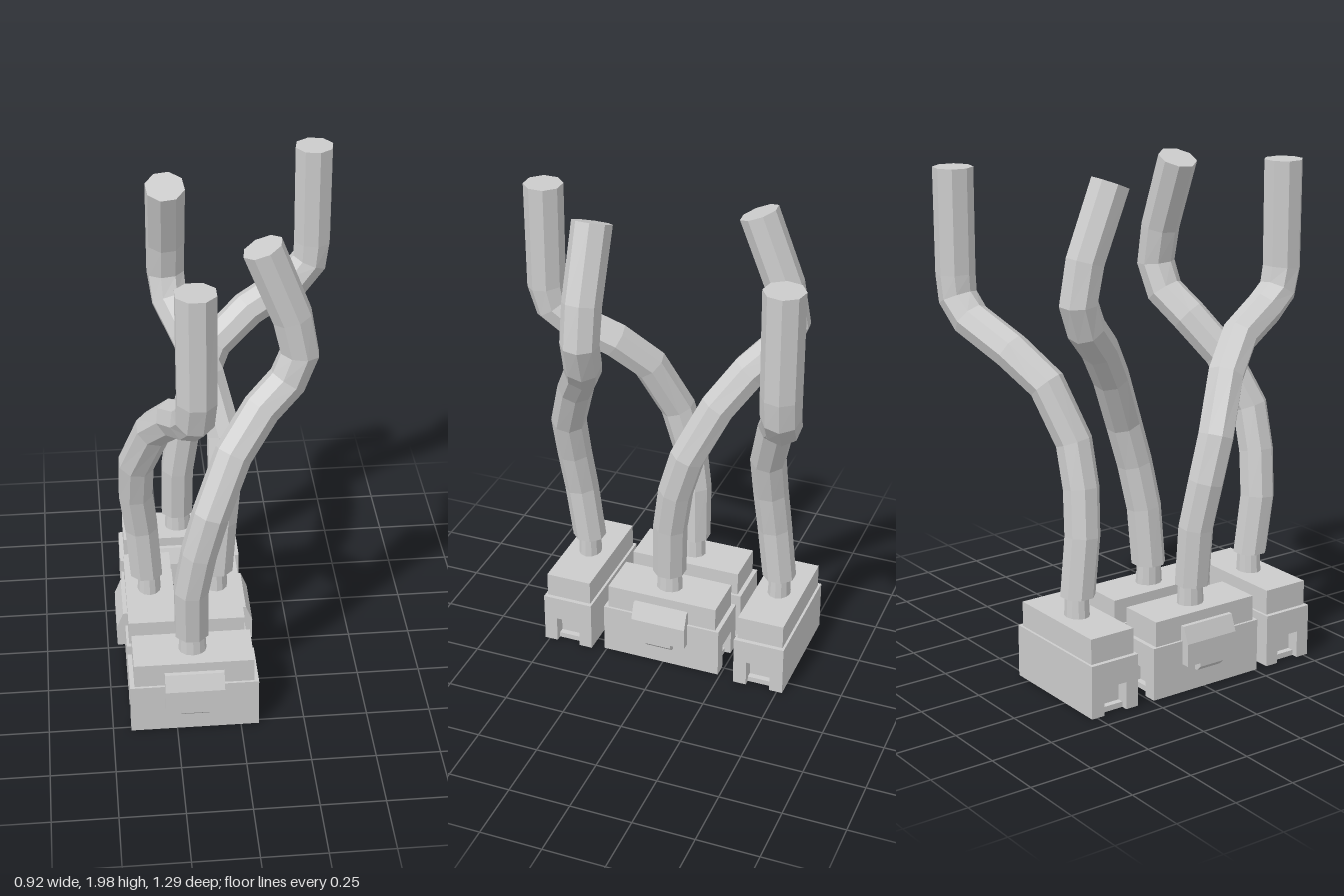
import * as THREE from 'three';

const grey = new THREE.MeshStandardMaterial({ color: 0xcccccc, flatShading: true, side: THREE.DoubleSide });

function add(parent, name, geometry, x = 0, y = 0, z = 0) {
  const mesh = new THREE.Mesh(geometry, grey);
  mesh.name = name;
  mesh.position.set(x, y, z);
  parent.add(mesh);
  return mesh;
}

// Housing with its latch facing local +z
function makeConnector(name) {
  const g = new THREE.Group();
  g.name = name;
  const w = 0.25, d = 0.105, n = 0.05, cut = 0.2;

  // Lower plan with a notch in each end, open at the bottom
  const plan = new THREE.Shape([
    [-w, -d], [w, -d], [w, -n], [cut, -n], [cut, n], [w, n],
    [w, d], [-w, d], [-w, n], [-cut, n], [-cut, -n], [-w, -n],
  ].map(([x, z]) => new THREE.Vector2(x, z)));
  const skirt = new THREE.ExtrudeGeometry(plan, { depth: 0.11, bevelEnabled: false });
  skirt.rotateX(-Math.PI / 2);
  add(g, 'housingSkirt', skirt);
  add(g, 'housingBody', new THREE.BoxGeometry(0.5, 0.1, 0.21), 0, 0.16, 0);
  add(g, 'housingTop', new THREE.BoxGeometry(0.465, 0.1, 0.19), 0, 0.26, 0);
  for (const s of [-1, 1]) {
    add(g, 'notchLip', new THREE.BoxGeometry(0.025, 0.022, 0.1), s * 0.212, 0.011, 0);
  }

  // Latch: side profile (depth, height) extruded across the width
  const side = new THREE.Shape([
    [0.09, 0.115], [0.138, 0.115], [0.138, 0.205], [0.112, 0.27], [0.09, 0.27],
  ].map(([z, y]) => new THREE.Vector2(z, y)));
  const latch = new THREE.ExtrudeGeometry(side, { depth: 0.23, bevelEnabled: false });
  latch.translate(0, 0, -0.115).rotateY(-Math.PI / 2);
  add(g, 'latch', latch);
  const tip = new THREE.Shape([
    [0.09, 0.08], [0.118, 0.08], [0.138, 0.1], [0.138, 0.115], [0.09, 0.115],
  ].map(([z, y]) => new THREE.Vector2(z, y)));
  const tab = new THREE.ExtrudeGeometry(tip, { depth: 0.11, bevelEnabled: false });
  tab.translate(0, 0, -0.055).rotateY(-Math.PI / 2);
  add(g, 'latchTab', tab);

  // Cable stem
  const stem = new THREE.CylinderGeometry(0.048, 0.055, 0.12, 12);
  stem.scale(1, 1, 0.86);
  add(g, 'stem', stem, 0, 0.36, 0);
  return g;
}

// Eight-sided capped sweep with one ring per path point
function sweep(path, r0, r1, sides = 8) {
  const pts = path.map(p => new THREE.Vector3(...p));
  const last = pts.length - 1;
  const pos = [], idx = [];
  const u = new THREE.Vector3(1, 0, 0), v = new THREE.Vector3();
  pts.forEach((p, i) => {
    const a = p.clone().sub(pts[Math.max(i - 1, 0)]).normalize();
    const b = pts[Math.min(i + 1, last)].clone().sub(p).normalize();
    const t = i === 0 ? new THREE.Vector3(0, 1, 0) : a.add(b).normalize();
    u.addScaledVector(t, -u.dot(t)).normalize();
    v.crossVectors(t, u);
    const r = THREE.MathUtils.lerp(r0, r1, i / last);
    for (let k = 0; k < sides; k++) {
      const ang = (k + 0.5) / sides * Math.PI * 2;
      const q = p.clone().addScaledVector(u, Math.cos(ang) * r).addScaledVector(v, Math.sin(ang) * r);
      pos.push(q.x, q.y, q.z);
      if (i < last) {
        const c = i * sides + k, e = i * sides + (k + 1) % sides;
        idx.push(c, e, e + sides, c, e + sides, c + sides);
      }
    }
  });
  const top = last * sides;
  for (let k = 1; k < sides - 1; k++) {
    idx.push(0, k + 1, k, top, top + k, top + k + 1);
  }
  const geo = new THREE.BufferGeometry();
  geo.setAttribute('position', new THREE.Float32BufferAttribute(pos, 3));
  geo.setIndex(idx);
  geo.computeVertexNormals();
  return geo;
}

export function createModel() {
  const model = new THREE.Group();
  model.name = 'cableConnectors';

  // Each connector: place, turn, and the path of its cable
  const parts = [
    { name: 'front', x: -0.18, z: 0.415, turn: 0, path: [
      [-0.183, 0.39, 0.418], [-0.185, 0.62, 0.45], [-0.155, 0.8, 0.465], [-0.11, 0.97, 0.465],
      [-0.02, 1.18, 0.39], [0.09, 1.32, 0.31], [0.19, 1.41, 0.265], [0.235, 1.52, 0.255],
      [0.205, 1.67, 0.255], [0.095, 1.95, 0.255]] },
    { name: 'back', x: -0.18, z: -0.418, turn: 0, path: [
      [-0.183, 0.39, -0.415], [-0.18, 0.62, -0.39], [-0.155, 0.8, -0.377], [-0.11, 0.97, -0.377],
      [-0.02, 1.18, -0.435], [0.12, 1.29, -0.5], [0.31, 1.385, -0.56], [0.375, 1.46, -0.575],
      [0.385, 1.55, -0.577], [0.385, 1.955, -0.577]] },
    { name: 'right', x: -0.325, z: 0.01, turn: -Math.PI / 2, path: [
      [-0.335, 0.39, 0.01], [-0.35, 0.62, 0.015], [-0.37, 0.8, 0.045], [-0.365, 0.97, 0.095],
      [-0.3, 1.18, 0.19], [-0.23, 1.3, 0.31], [-0.185, 1.38, 0.47], [-0.17, 1.44, 0.545],
      [-0.165, 1.53, 0.568], [-0.165, 1.95, 0.568]] },
    { name: 'left', x: -0.055, z: 0.01, turn: Math.PI / 2, path: [
      [-0.052, 0.39, 0.01], [-0.035, 0.62, 0], [-0.015, 0.8, -0.03], [-0.012, 0.97, -0.08],
      [-0.07, 1.18, -0.18], [-0.14, 1.32, -0.28], [-0.2, 1.42, -0.38], [-0.212, 1.52, -0.42],
      [-0.212, 1.67, -0.39], [-0.215, 1.945, -0.28]] },
  ];

  for (const { name, x, z, turn, path } of parts) {
    const c = makeConnector(name + 'Connector');
    c.position.set(x, 0, z);
    c.rotation.y = turn;
    model.add(c);
    add(model, name + 'Cable', sweep(path, 0.068, 0.077));
  }
  return model;
}
